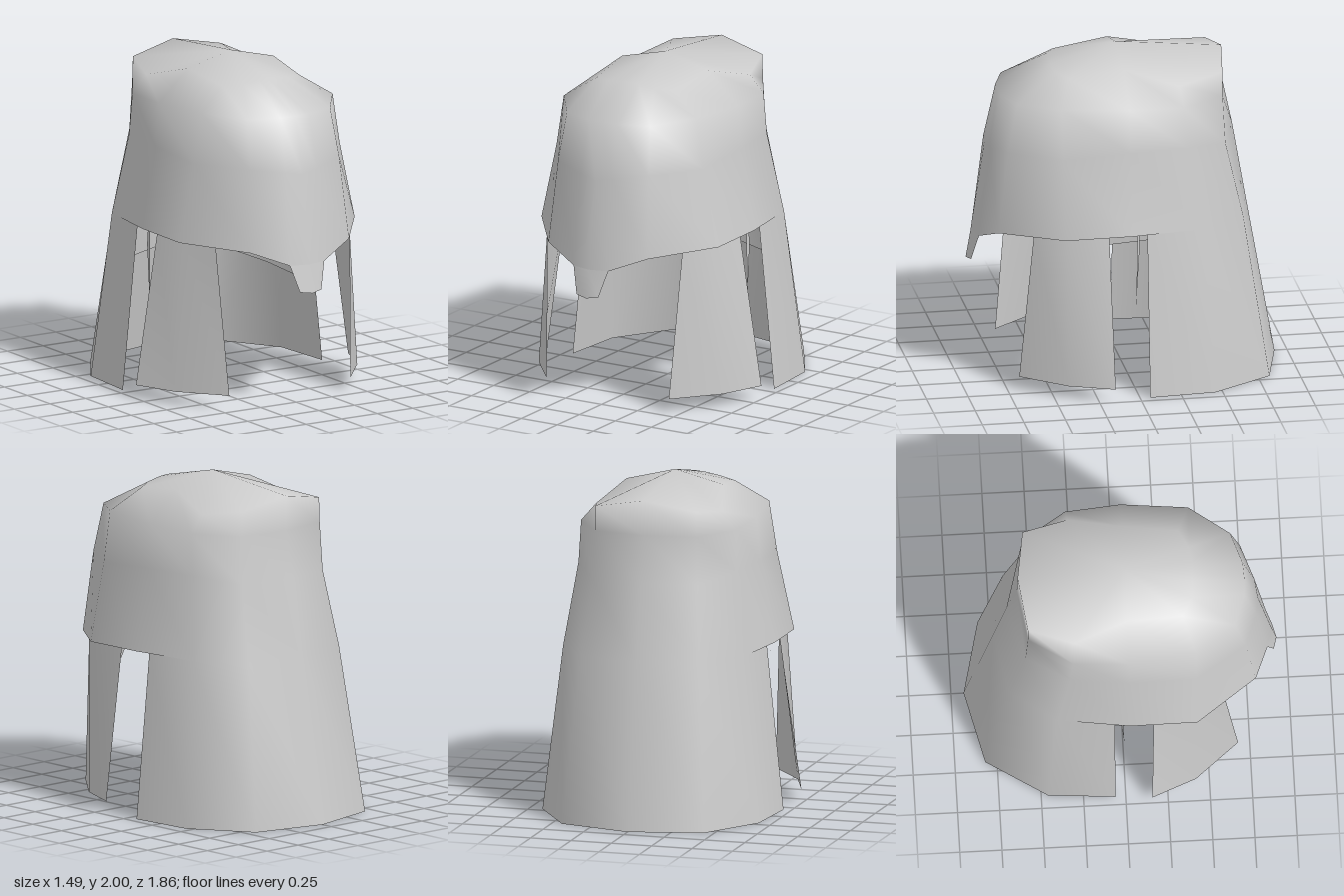
import * as THREE from 'three';
import { mergeVertices } from 'three/addons/utils/BufferGeometryUtils.js';

const shellMaterial = new THREE.MeshStandardMaterial({ color: 0xcccccc, side: THREE.DoubleSide });
const liningMaterial = new THREE.MeshStandardMaterial({ color: 0xcccccc });

// Smooth sheet from patches, each a list of rows of [x, y, z] points; shared points are welded
function sheet(name, patches, material = shellMaterial) {
  const index = [], points = [];
  for (const rows of patches) {
    const base = points.length, cols = rows[0].length;
    points.push(...rows.flat());
    for (let i = 0; i < rows.length - 1; i++) {
      for (let j = 0; j < cols - 1; j++) {
        const a = base + i * cols + j, d = a + cols;
        index.push(a, a + 1, d, a + 1, d + 1, d);
      }
    }
  }
  let geo = new THREE.BufferGeometry();
  geo.setAttribute('position', new THREE.Float32BufferAttribute(points.flat(), 3));
  geo.setIndex(index);
  geo = mergeVertices(geo, 1e-4);
  geo.computeVertexNormals();
  const mesh = new THREE.Mesh(geo, material);
  mesh.name = name;
  return mesh;
}

const flipX = ([x, y, z]) => [x === 0 ? 0 : -x, y, z];
const mirrorRows = (halves) => halves.map((half) => [...half.slice(1).reverse().map(flipX), ...half]);

export function createModel() {
  const group = new THREE.Group();
  group.name = 'helmet';

  // Dome: half rings run from the back centre to the front centre
  const crown = [0, 2, 0.03];
  const dome = [
    Array(8).fill(crown),
    [[0, 1.94, -0.605], [0.31, 1.88, -0.56], [0.39, 1.835, -0.29], [0.3, 1.925, 0.03],
      [0.27, 1.88, 0.36], [0.16, 1.89, 0.42], [0.06, 1.905, 0.43], [0, 1.91, 0.43]],
    [[0, 1.73, -0.61], [0.315, 1.73, -0.56], [0.48, 1.73, -0.3], [0.505, 1.74, 0.03],
      [0.46, 1.755, 0.43], [0.29, 1.74, 0.67], [0.1, 1.74, 0.735], [0, 1.74, 0.74]],
    [[0, 1.45, -0.67], [0.325, 1.44, -0.575], [0.49, 1.48, -0.32], [0.53, 1.48, 0.03],
      [0.51, 1.45, 0.43], [0.315, 1.45, 0.73], [0.11, 1.42, 0.805], [0, 1.4, 0.82]],
    [[0, 0.99, -0.75], [0.365, 0.99, -0.675], [0.56, 0.99, -0.4], [0.62, 0.99, 0.03],
      [0.615, 0.985, 0.43], [0.345, 0.96, 0.79], [0.12, 0.87, 0.87], [0, 0.87, 0.9]],
  ];

  // Flared neck guard: continues the back of the dome, tucks under the brim at the sides
  const neckGuard = [
    [...dome[4].slice(0, 3), [0.597, 0.99, -0.06]],
    [[0, 0, -0.925], [0.44, 0, -0.82], [0.67, 0, -0.46], [0.7, 0, -0.06]],
  ];
  group.add(sheet('domeAndNeckGuard', [mirrorRows(dome), mirrorRows(neckGuard)]));

  // Nose guard hanging from the brow
  group.add(sheet('noseGuard', [mirrorRows([
    [[0, 0.7, 0.93], [0.075, 0.71, 0.91]],
    [[0, 0.87, 0.9], [0.12, 0.87, 0.87]],
  ])]));

  // Lining facing inward: long at the nape, short at the sides and brow
  group.add(sheet('lining', [mirrorRows([
    [[0, 0.67, -0.7], [0.34, 0.63, -0.63], [0.51, 0.56, -0.37], [0.55, 0.52, 0], [0.555, 0.88, -0.02],
      [0.56, 0.9, 0.13], [0.47, 0.93, 0.6], [0.33, 0.905, 0.73], [0.12, 0.87, 0.86], [0, 0.87, 0.88]],
    [[0, 1.3, -0.66], [0.32, 1.3, -0.58], [0.49, 1.3, -0.34], [0.53, 1.3, -0.02], [0.53, 1.3, -0.02],
      [0.53, 1.3, 0.13], [0.38, 1.3, 0.58], [0.3, 1.3, 0.69], [0.11, 1.3, 0.8], [0, 1.3, 0.81]],
  ])], liningMaterial));

  // Cheek plates, listed from rear edge to front edge
  const cheek = [
    [[0.605, 0.995, 0.17], [0.575, 0.99, 0.42], [0.47, 0.98, 0.6]],
    [[0.745, 0.08, 0.155], [0.64, 0.08, 0.42], [0.425, 0.08, 0.68]],
  ];
  group.add(sheet('leftCheekPlate', [cheek]));
  group.add(sheet('rightCheekPlate', [cheek.map((row) => row.map(flipX).reverse())]));

  return group;
}
